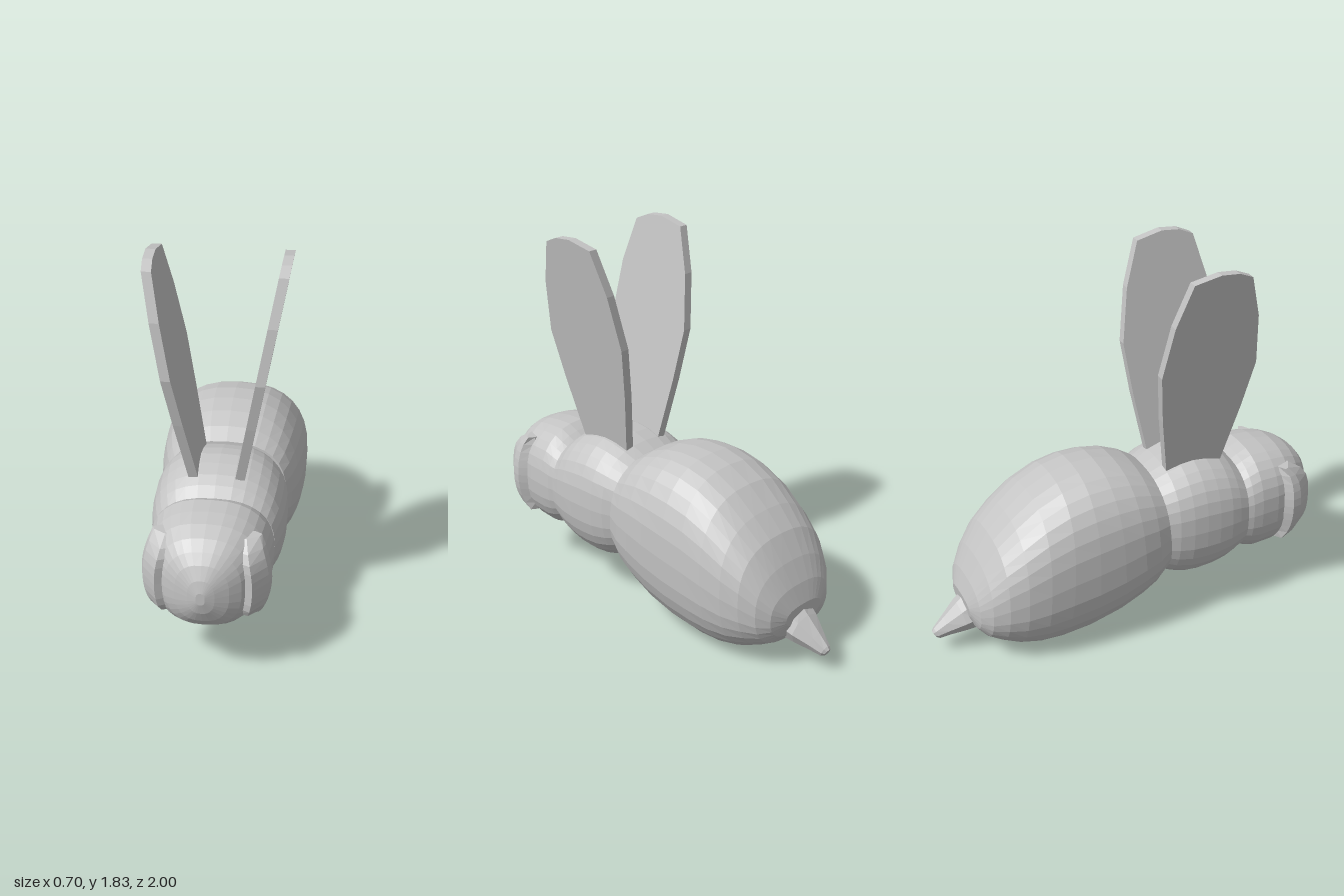
import * as THREE from 'three';

const grey = new THREE.MeshStandardMaterial({ color: 0xc4c4c4, flatShading: true });
grey.name = 'grey';

// Skin a list of equal-length rings and close both ends with fans.
function loft(rings) {
  const n = rings[0].length, pos = [], idx = [];
  rings.forEach(r => r.forEach(p => pos.push(p.x, p.y, p.z)));
  for (let i = 0; i < rings.length - 1; i++) {
    for (let j = 0; j < n; j++) {
      const a = i * n + j, b = i * n + (j + 1) % n, c = a + n, d = b + n;
      idx.push(a, c, b, b, c, d);
    }
  }
  [0, rings.length - 1].forEach((i, end) => {
    const mid = new THREE.Vector3();
    rings[i].forEach(p => mid.addScaledVector(p, 1 / n));
    const m = pos.length / 3;
    pos.push(mid.x, mid.y, mid.z);
    for (let j = 0; j < n; j++) {
      const a = i * n + j, b = i * n + (j + 1) % n;
      if (end) idx.push(m, b, a); else idx.push(m, a, b);
    }
  });
  const g = new THREE.BufferGeometry();
  g.setAttribute('position', new THREE.Float32BufferAttribute(pos, 3));
  g.setIndex(idx);
  g.computeVertexNormals();
  return g;
}

// Rounded-square body from sections [zTop, yTop, zBottom, yBottom, halfWidth].
function body(sections, power = 2.5, sides = 32) {
  const bend = v => Math.sign(v) * Math.abs(v) ** (2 / power);
  return loft(sections.map(([zt, yt, zb, yb, w]) => Array.from({ length: sides }, (_, j) => {
    const a = j / sides * Math.PI * 2, s = bend(Math.sin(a));
    return new THREE.Vector3(w * bend(Math.cos(a)), (yt + yb) / 2 + s * (yt - yb) / 2,
      (zt + zb) / 2 + s * (zt - zb) / 2);
  })));
}
const upright = rows => rows.map(([z, top, bottom, w]) => [z, top, z, bottom, w]);

// Copy of a geometry reflected across x = 0, with its faces turned back out.
function mirrored(geometry) {
  const g = geometry.index ? geometry.toNonIndexed() : geometry.clone();
  g.scale(-1, 1, 1);
  const p = g.attributes.position, a = new THREE.Vector3(), b = new THREE.Vector3();
  for (let i = 0; i < p.count; i += 3) {
    a.fromBufferAttribute(p, i + 1);
    b.fromBufferAttribute(p, i + 2);
    p.setXYZ(i + 1, b.x, b.y, b.z);
    p.setXYZ(i + 2, a.x, a.y, a.z);
  }
  g.computeVertexNormals();
  return g;
}

// Half-moon eye: a bent plate stacked upward along the side of the head.
function eyeGeometry() {
  const outline = [[0.2, 0.75], [0.25, 0.745], [0.29, 0.795], [0.28, 0.84], [0.215, 0.92], [0.175, 0.9]];
  const rings = [];
  for (let i = 0; i <= 10; i++) {
    const t = i / 5 - 1;
    const depth = Math.max(0.4, Math.sqrt(1 - t ** 4)), squeeze = 1 - 0.17 * t * t;
    rings.push(outline.map(([x, z]) =>
      new THREE.Vector3(x * squeeze, 0.503 + 0.2 * t, 0.745 + (z - 0.745) * depth)));
  }
  return loft(rings);
}

// Thin upright wing, leaning outward as it rises.
function wingGeometry() {
  const shape = new THREE.Shape([[0.46, 0.78], [0.53, 1.08], [0.576, 1.32], [0.55, 1.58], [0.49, 1.79],
    [0.42, 1.82], [0.33, 1.828], [0.2, 1.8], [0.13, 1.59], [0.09, 1.33], [0.12, 1.08], [0.17, 0.78]]
    .map(([z, y]) => new THREE.Vector2(z, y)));
  const g = new THREE.ExtrudeGeometry(shape, { depth: 0.044, bevelEnabled: false });
  g.rotateY(-Math.PI / 2);
  const p = g.attributes.position;
  for (let i = 0; i < p.count; i++) p.setX(i, p.getX(i) + 0.13 + (p.getY(i) - 0.79) * 0.183);
  g.computeVertexNormals();
  return g;
}

export function createModel() {
  const model = new THREE.Group();
  model.name = 'bee';
  const add = (name, geometry) => {
    const mesh = new THREE.Mesh(geometry, grey);
    mesh.name = name;
    model.add(mesh);
  };

  // [z, top, bottom, half width]
  add('head', body(upright([
    [1, 0.53, 0.47, 0.02], [0.985, 0.585, 0.415, 0.06], [0.955, 0.645, 0.355, 0.12],
    [0.92, 0.69, 0.31, 0.17], [0.87, 0.727, 0.275, 0.212], [0.8, 0.757, 0.247, 0.25],
    [0.72, 0.77, 0.232, 0.27], [0.63, 0.774, 0.228, 0.28], [0.58, 0.75, 0.245, 0.28],
    [0.53, 0.72, 0.27, 0.27]])));
  add('thorax', body(upright([
    [0.55, 0.73, 0.265, 0.277], [0.5, 0.77, 0.235, 0.292], [0.45, 0.797, 0.21, 0.303],
    [0.38, 0.817, 0.19, 0.31], [0.31, 0.826, 0.182, 0.312], [0.24, 0.817, 0.188, 0.31],
    [0.17, 0.795, 0.21, 0.3], [0.11, 0.765, 0.24, 0.28], [0.05, 0.72, 0.29, 0.25]])));

  // [zTop, yTop, zBottom, yBottom, half width]
  add('abdomen', body([
    [0.1, 0.77, 0.145, 0.24, 0.29], [0.03, 0.815, 0.08, 0.17, 0.315],
    [-0.06, 0.85, 0, 0.12, 0.333], [-0.16, 0.868, -0.12, 0.062, 0.344],
    [-0.27, 0.866, -0.27, 0.02, 0.35], [-0.38, 0.84, -0.42, 0.002, 0.35],
    [-0.5, 0.78, -0.53, 0.006, 0.344], [-0.61, 0.69, -0.63, 0.03, 0.327],
    [-0.7, 0.6, -0.71, 0.065, 0.298], [-0.77, 0.49, -0.775, 0.1, 0.255],
    [-0.82, 0.39, -0.815, 0.145, 0.2], [-0.85, 0.3, -0.838, 0.2, 0.12]]));
  add('stinger', body([
    [-0.82, 0.29, -0.76, 0.105, 0.105], [-0.87, 0.245, -0.84, 0.098, 0.092],
    [-0.94, 0.178, -0.91, 0.085, 0.055], [-0.99, 0.13, -0.965, 0.073, 0.03],
    [-1, 0.115, -0.98, 0.08, 0.018]], 2, 8));

  const eye = eyeGeometry(), wing = wingGeometry();
  add('leftEye', eye);
  add('rightEye', mirrored(eye));
  add('leftWing', wing);
  add('rightWing', mirrored(wing));
  return model;
}
